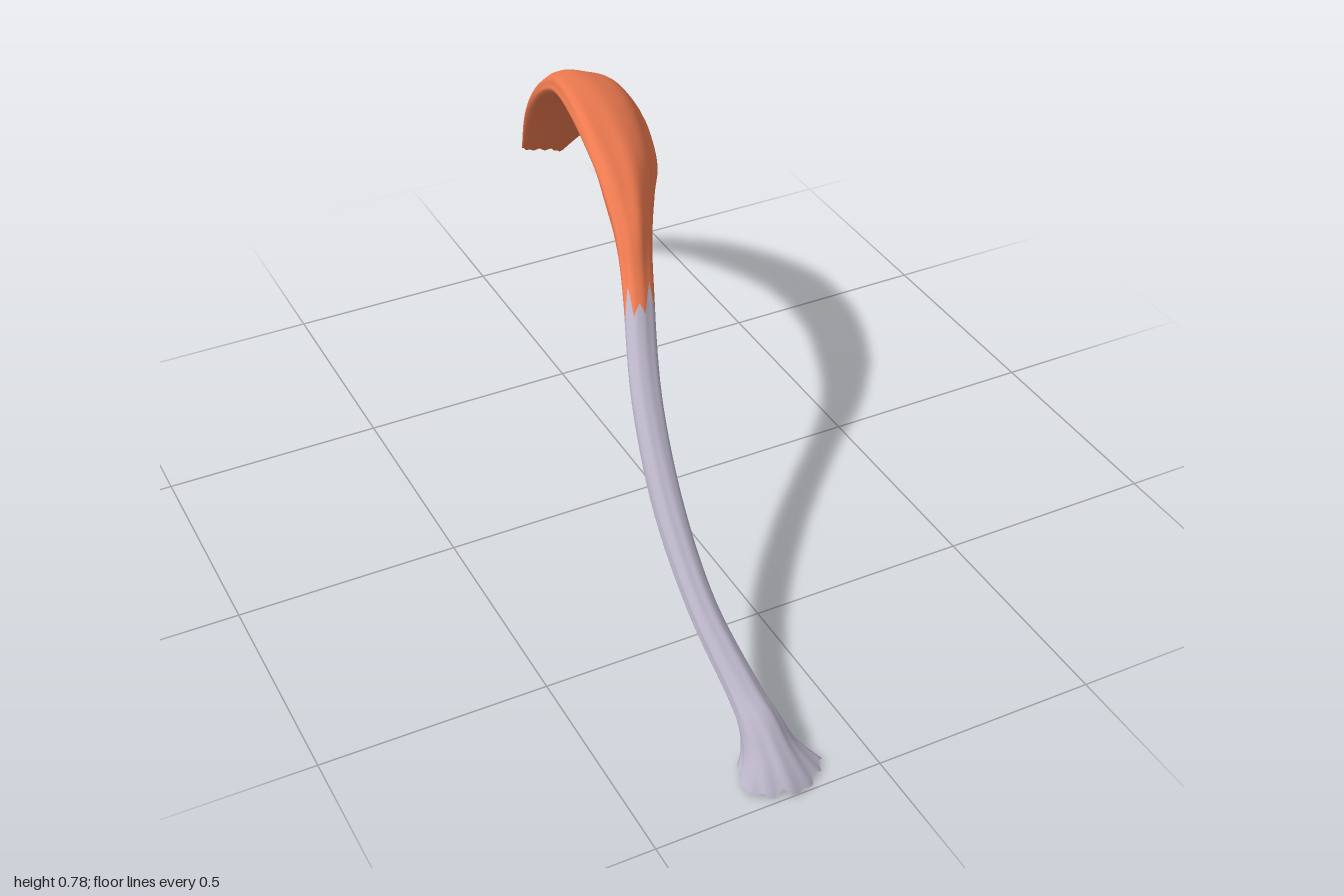
import * as THREE from 'three';

// Cross-sections from the flared tendon foot to the muscle tip:
// x, y, z, half width, half thickness, pitch, roll (degrees), bend
const SECTIONS = [
  [-0.19, 0.01, 0.932, 0.088, 0.068, 92, 0, 0],
  [-0.193, 0.042, 0.89, 0.056, 0.05, 66, 0, 0],
  [-0.193, 0.078, 0.845, 0.043, 0.035, 42, 0, 0],
  [-0.193, 0.108, 0.78, 0.036, 0.026, 27, 0, 0],
  [-0.194, 0.193, 0.6, 0.031, 0.025, 26, 0, 0],
  [-0.168, 0.303, 0.4, 0.033, 0.03, 30, 0, 0],
  [-0.116, 0.43, 0.2, 0.035, 0.028, 31, -5, 0],
  [-0.036, 0.56, 0, 0.04, 0.027, 32, -18, 0],
  [0.003, 0.63, -0.1, 0.05, 0.035, 27, -28, 0.003],
  [0.041, 0.672, -0.2, 0.075, 0.043, 20, -34, 0.008],
  [0.08, 0.694, -0.3, 0.1, 0.046, 10, -34, 0.013],
  [0.122, 0.709, -0.45, 0.12, 0.046, 0, -35, 0.02],
  [0.16, 0.688, -0.6, 0.124, 0.045, -15, -35, 0.022],
  [0.177, 0.645, -0.7, 0.122, 0.044, -26, -34, 0.022],
  [0.182, 0.58, -0.8, 0.107, 0.039, -40, -30, 0.02],
  [0.183, 0.485, -0.9, 0.083, 0.031, -54, -24, 0.015],
  [0.177, 0.35, -0.99, 0.053, 0.015, -62, -10, 0.006],
];
const LAST = SECTIONS.length - 1;
const SIDES = 48;
const RAD = Math.PI / 180;

// Smooth interpolation of every section value
function sectionAt(u) {
  const i = Math.min(LAST - 1, Math.max(0, Math.floor(u)));
  const t = u - i;
  const row = (k) => SECTIONS[Math.min(LAST, Math.max(0, k))];
  return row(i).map((b, k) => {
    const a = row(i - 1)[k], c = row(i + 1)[k], d = row(i + 2)[k];
    return b + 0.5 * t * (c - a + t * (2 * a - 5 * b + 4 * c - d + t * (3 * (b - c) + d - a)));
  });
}

// Point on the surface at station u, side index j
function surfacePoint(u, j) {
  const [x, y, z, w, h, pitch, roll, bend] = sectionAt(u);
  const a = (j / SIDES) * Math.PI * 2;
  // Fibre ripples, with stronger ribs fanning out at the foot
  const ribs = 0.05 * Math.max(0, 1 - u / 2) * Math.sin(12 * a);
  const ripple = 1 + 0.03 * Math.sin(5 * a + u * 0.6) + 0.02 * Math.sin(9 * a - u) + ribs;
  const s = w * Math.cos(a) * ripple;
  const n = h * Math.sin(a) * ripple + bend * (0.5 - Math.cos(a) ** 2);
  const r = roll * RAD, p = pitch * RAD;
  const v = s * Math.sin(r) + n * Math.cos(r);
  return [x + s * Math.cos(r) - n * Math.sin(r), y + v * Math.cos(p), z + v * Math.sin(p)];
}

// Uneven teeth around the ring, 0..1
function teeth(j, period) {
  const k = (j % SIDES) / period;
  const size = 0.65 + 0.35 * Math.sin(Math.floor(k) * 2.4);
  return size * (1 - Math.abs(2 * (k % 1) - 1));
}

// Skin between two ragged edges
function skin(from, to, rings) {
  const pos = [], index = [];
  for (let i = 0; i <= rings; i++) {
    for (let j = 0; j < SIDES; j++) {
      pos.push(...surfacePoint(THREE.MathUtils.lerp(from(j), to(j), i / rings), j));
    }
  }
  for (let i = 0; i < rings; i++) {
    for (let j = 0; j < SIDES; j++) {
      const a = i * SIDES + j, b = i * SIDES + ((j + 1) % SIDES);
      index.push(a, a + SIDES, b, b, a + SIDES, b + SIDES);
    }
  }
  return finish(pos, index);
}

// Slightly recessed fan closing a ragged end
function cap(edge, centreU, atStart) {
  const pos = sectionAt(centreU).slice(0, 3), index = [];
  for (let j = 0; j < SIDES; j++) {
    pos.push(...surfacePoint(edge(j), j));
    const a = 1 + j, b = 1 + ((j + 1) % SIDES);
    if (atStart) index.push(0, a, b);
    else index.push(0, b, a);
  }
  return finish(pos, index);
}

function finish(pos, index) {
  const g = new THREE.BufferGeometry();
  g.setAttribute('position', new THREE.Float32BufferAttribute(pos, 3));
  g.setIndex(index);
  g.computeVertexNormals();
  return g;
}

export function createModel() {
  const group = new THREE.Group();
  group.name = 'muscleWithTendon';
  const material = (color) => new THREE.MeshStandardMaterial({ color, side: THREE.DoubleSide });
  const tendonMat = material(0xb9b3c6);
  const muscleMat = material(0xee7a50);

  // Ragged edges: foot (heel side cut higher), tendon-muscle junction,
  // and muscle tip (longest at its left corner)
  const angle = (j) => (j / SIDES) * Math.PI * 2;
  const foot = (j) => 0.3 * teeth(j, 4) + 0.3 * Math.max(0, -Math.sin(angle(j)));
  const junction = (j) => 6.68 + 0.38 * teeth(j, 6);
  const tip = (j) => LAST - 0.2 + 0.24 * Math.max(0, Math.cos(angle(j))) ** 2 - 0.1 * teeth(j, 4);

  const add = (name, geometry, mat) => {
    const mesh = new THREE.Mesh(geometry, mat);
    mesh.name = name;
    group.add(mesh);
  };
  add('tendon', skin(foot, junction, 44), tendonMat);
  add('tendonFootCap', cap(foot, 0.5, true), tendonMat);
  add('muscleBelly', skin(junction, tip, 50), muscleMat);
  add('muscleTipCap', cap(tip, LAST - 0.4, false), muscleMat);
  return group;
}
